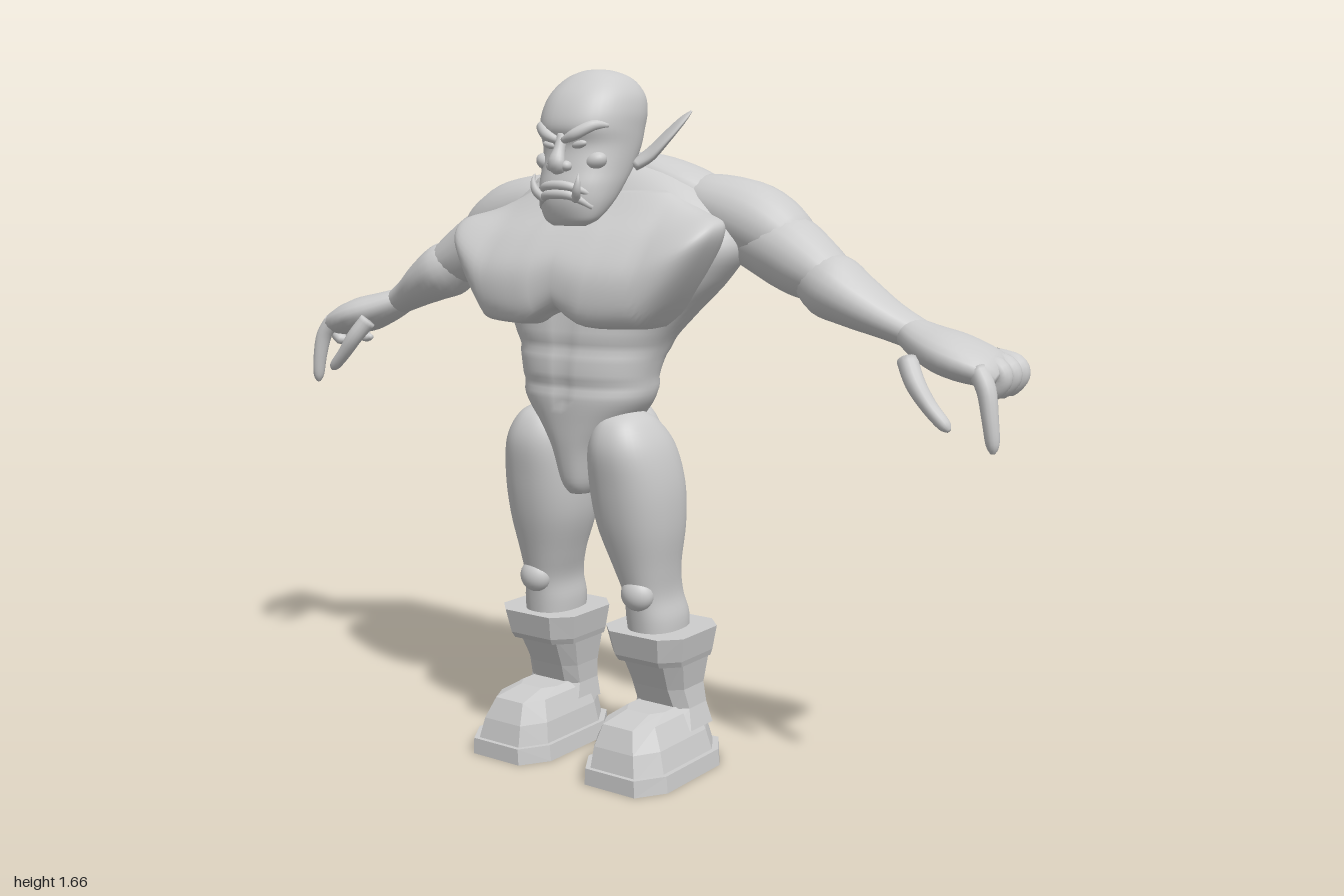
import * as THREE from 'three';

const V = (x, y, z) => new THREE.Vector3(x, y, z);
const bump = (d, w) => Math.exp(-((d / w) ** 2));

// Fill in rows between the given ones along a Catmull-Rom spline
function densify(rows, k) {
  const out = [], at = i => rows[Math.max(0, Math.min(rows.length - 1, i))];
  for (let i = 0; i < rows.length - 1; i++) for (let s = 0; s < k; s++) {
    const t = s / k, [a, b, c, d] = [at(i - 1), at(i), at(i + 1), at(i + 2)];
    out.push(b.map((_, j) => 0.5 * (2 * b[j] + (c[j] - a[j]) * t + (2 * a[j] - 5 * b[j] + 4 * c[j] - d[j]) * t * t
      + (3 * b[j] - a[j] - 3 * c[j] + d[j]) * t * t * t)));
  }
  out.push(rows[rows.length - 1]);
  return out;
}

// Closed skin over a stack of rings, with capped ends
function skin(rings) {
  const n = rings[0].length, pts = rings.flat(), idx = [], last = (rings.length - 1) * n;
  for (let i = 0; i < rings.length - 1; i++) for (let j = 0; j < n; j++) {
    const a = i * n + j, b = i * n + (j + 1) % n;
    idx.push(a, a + n, b, b, a + n, b + n);
  }
  const mid = ring => ring.reduce((s, p) => s.add(p), V(0, 0, 0)).divideScalar(n);
  const lo = pts.push(mid(rings[0])) - 1, hi = pts.push(mid(rings[rings.length - 1])) - 1;
  for (let j = 0; j < n; j++) {
    idx.push(lo, j, (j + 1) % n, hi, last + (j + 1) % n, last + j);
  }
  const g = new THREE.BufferGeometry().setFromPoints(pts);
  g.setIndex(idx);
  g.computeVertexNormals();
  return g;
}

const pw = (v, n) => Math.sign(v) * Math.abs(v) ** (2 / n);

// Upright form from rows [y, centreX, halfWidth, frontZ, backZ]
function body(rows, { n = 2.3, seg = 40, k = 5, turn = 0, rule } = {}) {
  return skin((k > 1 ? densify(rows, k) : rows).map(([y, cx, hw, zf, zb]) =>
    Array.from({ length: seg }, (_, j) => {
      const a = (j + turn) / seg * Math.PI * 2;
      const p = V(cx + hw * pw(Math.cos(a), n), y, (zf + zb) / 2 + (zf - zb) / 2 * pw(Math.sin(a), n));
      if (rule) rule(p);
      return p;
    })));
}

// Limb along a path from rows [x, y, z, thickness radius, width radius]
function limb(rows, { seg = 20, k = 4, side = V(0, 0, 1) } = {}) {
  const r = densify(rows, k), c = r.map(q => V(q[0], q[1], q[2]));
  return skin(r.map((q, i) => {
    const t = c[Math.min(i + 1, r.length - 1)].clone().sub(c[Math.max(i - 1, 0)]).normalize();
    const u = t.clone().cross(side).normalize(), w = u.clone().cross(t);
    return Array.from({ length: seg }, (_, j) => {
      const a = j / seg * Math.PI * 2;
      return c[i].clone().addScaledVector(u, q[3] * Math.cos(a)).addScaledVector(w, q[4] * Math.sin(a));
    });
  }));
}

const blob = (x, y, z, rx, ry, rz, tilt = 0) =>
  new THREE.SphereGeometry(1, 24, 16).scale(rx, ry, rz).rotateZ(tilt).translate(x, y, z);

function flat(g) {
  const f = g.toNonIndexed();
  f.computeVertexNormals();
  return f;
}

function mirror(g) {
  const m = (g.index ? g.toNonIndexed() : g.clone());
  m.scale(-1, 1, 1);
  for (const at of Object.values(m.attributes)) {
    const s = at.itemSize, a = at.array;
    for (let i = 0; i < a.length; i += 3 * s) for (let j = 0; j < s; j++) {
      [a[i + s + j], a[i + 2 * s + j]] = [a[i + 2 * s + j], a[i + s + j]];
    }
  }
  return m;
}

export function createModel() {
  const model = new THREE.Group();
  const clay = new THREE.MeshStandardMaterial({ color: 0xcccccc });
  clay.name = 'grey';
  const add = (name, g) => {
    const m = new THREE.Mesh(g, clay);
    m.name = name;
    model.add(m);
  };
  const pair = (name, g) => { add('left ' + name, g); add('right ' + name, mirror(g)); };

  // Torso with spine groove and belly relief
  add('torso', body([
    [0.67, 0, 0.025, 0.115, 0.04], [0.70, 0, 0.045, 0.135, 0], [0.78, 0, 0.075, 0.15, -0.04],
    [0.84, 0, 0.12, 0.157, -0.06], [0.90, 0, 0.165, 0.162, -0.07], [0.96, 0, 0.176, 0.162, -0.075],
    [1.03, 0, 0.20, 0.157, -0.10], [1.10, 0, 0.25, 0.15, -0.15], [1.18, 0, 0.32, 0.14, -0.19],
    [1.26, 0, 0.36, 0.12, -0.21], [1.34, 0, 0.30, 0.07, -0.195], [1.41, 0, 0.2, 0.03, -0.155],
    [1.455, 0, 0.08, -0.01, -0.10]], { seg: 64, rule: p => {
    if (p.z < -0.03) p.z += 0.022 * bump(p.x, 0.03) * bump(p.y - 1.15, 0.25);
    else if (p.y > 0.88) p.z -= 0.007 * (bump(p.x, 0.012) + bump(p.y - 0.93, 0.012) + bump(p.y - 1.02, 0.012));
  } }));

  // Raised chest muscles, swept up towards the shoulders
  add('chest', body([
    [1.07, 0, 0.20, 0.165, -0.03], [1.082, 0, 0.27, 0.2, -0.05], [1.13, 0, 0.33, 0.212, -0.05],
    [1.20, 0, 0.365, 0.2, -0.05], [1.27, 0, 0.355, 0.15, -0.05], [1.33, 0, 0.28, 0.09, -0.06],
    [1.38, 0, 0.2, 0.045, -0.06]], { n: 2.7, seg: 72, rule: p => {
    const low = Math.max(0, 1.38 - p.y) / 0.3, ax = Math.abs(p.x);
    p.y += low * (0.9 * Math.max(0, ax - 0.22) + 0.04 * bump(ax, 0.05));
    if (p.z > 0) p.z -= 0.014 * bump(ax, 0.02);
  } }));
  add('neck', limb([[0, 1.28, -0.07, 0.09, 0.1], [0, 1.38, -0.045, 0.085, 0.08], [0, 1.48, -0.01, 0.075, 0.075]]));
  pair('trapezius', limb([[0.03, 1.43, -0.06, 0.04, 0.05], [0.1, 1.42, -0.08, 0.045, 0.075],
    [0.19, 1.385, -0.1, 0.05, 0.085], [0.28, 1.35, -0.11, 0.04, 0.06]]));
  pair('shoulder blade', blob(0.16, 1.26, -0.165, 0.11, 0.12, 0.045, -0.5));
  pair('buttock', blob(0.062, 0.785, -0.05, 0.07, 0.1, 0.07, 0.15));

  // Head
  add('head', body([
    [1.30, 0, 0.045, 0.145, 0.10], [1.315, 0, 0.07, 0.157, 0.075], [1.35, 0, 0.088, 0.168, 0.03],
    [1.39, 0, 0.098, 0.168, -0.01], [1.43, 0, 0.103, 0.158, -0.045], [1.48, 0, 0.108, 0.15, -0.075],
    [1.52, 0, 0.112, 0.163, -0.09], [1.56, 0, 0.113, 0.153, -0.10], [1.60, 0, 0.103, 0.128, -0.097],
    [1.635, 0, 0.075, 0.088, -0.07], [1.653, 0, 0.035, 0.05, -0.03], [1.657, 0, 0.006, 0.015, 0.005]], { n: 2.25 }));
  add('nose', limb([[0, 1.505, 0.15, 0.012, 0.012], [0, 1.47, 0.163, 0.014, 0.014],
    [0, 1.44, 0.174, 0.018, 0.022], [0, 1.422, 0.165, 0.01, 0.016]], { side: V(1, 0, 0) }));
  pair('nostril', blob(0.02, 1.435, 0.164, 0.014, 0.012, 0.014));
  pair('brow', limb([[0.008, 1.492, 0.158, 0.008, 0.008], [0.04, 1.505, 0.158, 0.013, 0.012],
    [0.075, 1.525, 0.135, 0.012, 0.01], [0.095, 1.525, 0.105, 0.005, 0.005]]));
  pair('eye', blob(0.042, 1.483, 0.143, 0.02, 0.009, 0.01, 0.2));
  pair('cheekbone', blob(0.07, 1.445, 0.118, 0.028, 0.02, 0.024, 0.4));
  for (const [name, y, drop] of [['upper lip', 1.392, 0.022], ['lower lip', 1.372, 0.03]]) {
    add(name, limb([[-0.072, y - drop, 0.135, 0.006, 0.006], [-0.04, y - 0.005, 0.166, 0.01, 0.01],
      [0, y, 0.174, 0.011, 0.01], [0.04, y - 0.005, 0.166, 0.01, 0.01], [0.072, y - drop, 0.135, 0.006, 0.006]]));
  }
  pair('tusk', limb([[0.045, 1.36, 0.16, 0.01, 0.01], [0.058, 1.378, 0.175, 0.01, 0.01],
    [0.064, 1.4, 0.178, 0.006, 0.006], [0.062, 1.418, 0.174, 0.001, 0.001]], { seg: 12 }));
  pair('ear', limb([[0.095, 1.435, 0.005, 0.012, 0.02], [0.125, 1.463, -0.02, 0.013, 0.04],
    [0.16, 1.505, -0.04, 0.01, 0.042], [0.19, 1.54, -0.055, 0.007, 0.027], [0.208, 1.56, -0.065, 0.002, 0.006]],
  { side: V(0.5, -0.5, 1) }));

  // Arms
  pair('shoulder', limb([[0.16, 1.36, -0.1, 0.05, 0.06], [0.24, 1.345, -0.105, 0.075, 0.09],
    [0.35, 1.31, -0.11, 0.09, 0.1], [0.44, 1.265, -0.11, 0.075, 0.085], [0.49, 1.235, -0.105, 0.035, 0.045]]));
  pair('upper arm', limb([[0.3, 1.29, -0.11, 0.06, 0.07], [0.42, 1.255, -0.11, 0.083, 0.095],
    [0.5, 1.215, -0.1, 0.077, 0.087], [0.57, 1.18, -0.09, 0.055, 0.07], [0.61, 1.155, -0.09, 0.035, 0.045]]));
  pair('forearm', limb([[0.49, 1.205, -0.09, 0.04, 0.05], [0.56, 1.175, -0.09, 0.072, 0.085],
    [0.63, 1.14, -0.09, 0.06, 0.08], [0.71, 1.1, -0.1, 0.042, 0.06], [0.79, 1.065, -0.11, 0.032, 0.045]]));
  pair('palm', limb([[0.74, 1.085, -0.11, 0.032, 0.045], [0.80, 1.06, -0.095, 0.042, 0.075],
    [0.87, 1.037, -0.085, 0.048, 0.1], [0.94, 1.015, -0.095, 0.038, 0.092], [0.965, 1.003, -0.1, 0.018, 0.07]]));
  pair('thumb', limb([[0.79, 1.03, -0.01, 0.022, 0.024], [0.82, 0.985, 0.012, 0.021, 0.022],
    [0.855, 0.94, 0.017, 0.017, 0.019], [0.89, 0.905, 0.018, 0.014, 0.015], [0.902, 0.893, 0.018, 0.005, 0.005]], { seg: 14 }));
  pair('index finger', limb([[0.94, 1.02, -0.025, 0.022, 0.024], [0.965, 0.98, -0.015, 0.02, 0.022],
    [0.978, 0.92, -0.01, 0.017, 0.019], [0.985, 0.87, -0.01, 0.014, 0.015], [0.986, 0.85, -0.01, 0.005, 0.005]], { seg: 14 }));
  [-0.07, -0.12, -0.165].forEach((z, i) => pair('curled finger ' + (i + 1), limb([[0.92, 1.03, z, 0.022, 0.024],
    [0.965, 1.02, z, 0.022, 0.023], [0.978, 0.995, z, 0.019, 0.021], [0.955, 0.965, z, 0.016, 0.018],
    [0.93, 0.965, z, 0.006, 0.006]], { seg: 14 })));

  // Legs
  pair('leg', body([
    [0.875, 0.115, 0.025, 0.09, 0.03], [0.85, 0.117, 0.06, 0.137, -0.02], [0.79, 0.122, 0.09, 0.16, -0.065],
    [0.70, 0.127, 0.103, 0.15, -0.088], [0.60, 0.132, 0.097, 0.13, -0.09], [0.50, 0.142, 0.072, 0.1, -0.08],
    [0.43, 0.15, 0.058, 0.08, -0.09], [0.37, 0.155, 0.064, 0.07, -0.105], [0.30, 0.157, 0.06, 0.06, -0.1]].reverse()));
  pair('kneecap', blob(0.153, 0.438, 0.066, 0.042, 0.04, 0.034));

  // Faceted boots
  const boot = (name, rows) => pair(name, flat(body(rows, { n: 3.6, seg: 8, k: 1, turn: 0.5 })));
  boot('boot cuff', [[0.27, 0.16, 0.1, 0.075, -0.14], [0.285, 0.16, 0.105, 0.085, -0.143], [0.345, 0.16, 0.117, 0.1, -0.148]]);
  boot('boot shaft', [[0.1, 0.17, 0.09, 0.02, -0.14], [0.15, 0.165, 0.08, 0.0, -0.127],
    [0.2, 0.16, 0.08, 0.02, -0.125], [0.28, 0.16, 0.096, 0.06, -0.135]]);
  boot('boot foot', [[0.03, 0.172, 0.108, 0.203, -0.155], [0.09, 0.168, 0.095, 0.19, -0.14],
    [0.14, 0.164, 0.072, 0.167, -0.125], [0.155, 0.163, 0.055, 0.08, -0.11]]);
  boot('boot sole', [[0, 0.172, 0.122, 0.213, -0.168], [0.04, 0.172, 0.118, 0.213, -0.168]]);
  return model;
}
